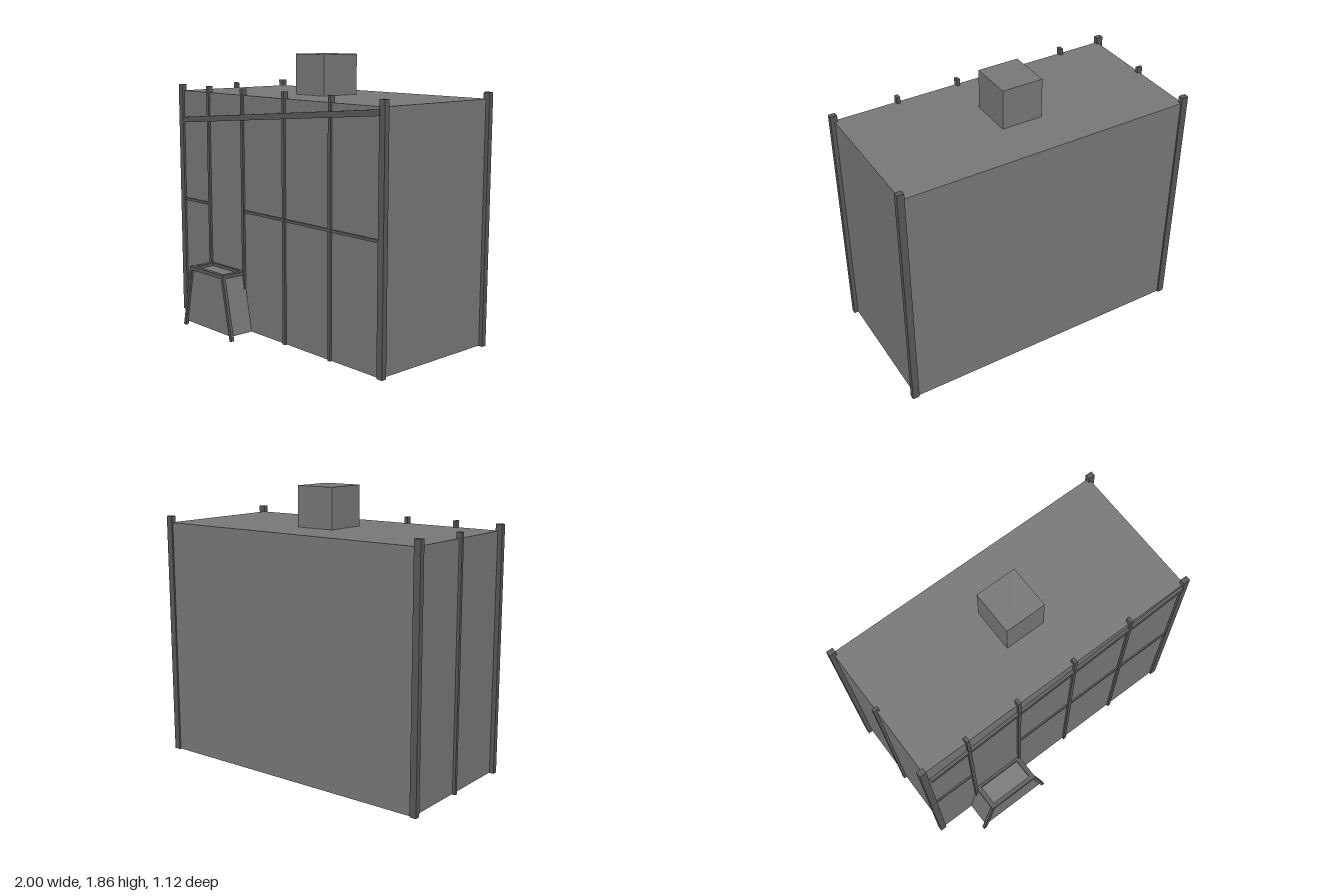
import * as THREE from 'three';

const wallMat = new THREE.MeshStandardMaterial({ color: 0x777777 });
const trimMat = new THREE.MeshStandardMaterial({ color: 0x585858 });

export function createModel() {
  const model = new THREE.Group();

  // Box given by its min and max corner
  function box(name, [x0, y0, z0], [x1, y1, z1], mat = trimMat) {
    const mesh = new THREE.Mesh(new THREE.BoxGeometry(x1 - x0, y1 - y0, z1 - z0), mat);
    mesh.name = name;
    mesh.position.set((x0 + x1) / 2, (y0 + y1) / 2, (z0 + z1) / 2);
    model.add(mesh);
  }

  // Sloping beam in the xy plane between two points
  function beam(name, [x0, y0], [x1, y1], width, z0, z1) {
    const length = Math.hypot(x1 - x0, y1 - y0);
    const mesh = new THREE.Mesh(new THREE.BoxGeometry(length, width, z1 - z0), trimMat);
    mesh.name = name;
    mesh.position.set((x0 + x1) / 2, (y0 + y1) / 2, (z0 + z1) / 2);
    mesh.rotation.z = Math.atan2(y1 - y0, x1 - x0);
    model.add(mesh);
  }

  // House block and chimney
  box('houseBody', [-0.97, 0.03, -0.55], [0.973, 1.602, 0.373], wallMat);
  box('chimney', [-0.132, 1.6, -0.232], [0.141, 1.865, 0.055], wallMat);

  // Corner posts
  for (const x of [-1, 0.955]) {
    for (const z of [-0.56, 0.352]) {
      box('cornerPost', [x, 0.028, z], [x + 0.045, 1.645, z + 0.035]);
    }
  }

  // Slim posts on the front and on one side wall
  for (const x of [-0.663, -0.293, 0.124, 0.547]) {
    box('frontPost', [x - 0.011, 0.028, 0.349], [x + 0.011, 1.645, 0.387]);
  }
  box('sidePost', [-0.989, 0.026, -0.108], [-0.952, 1.64, -0.087]);

  // Horizontal rails either side of the door bay, and the sloping rail
  box('midRail', [-0.957, 0.831, 0.36], [-0.663, 0.849, 0.383]);
  box('midRail', [-0.293, 0.831, 0.36], [0.957, 0.849, 0.383]);
  beam('slopingRail', [-0.945, 1.4], [0.962, 1.57], 0.037, 0.37, 0.393);

  // Porch: tapered block seen as a trapezoid from the front
  const cx = -0.474;
  const outline = new THREE.Shape([
    new THREE.Vector2(cx - 0.247, 0.03), new THREE.Vector2(cx + 0.247, 0.03),
    new THREE.Vector2(cx + 0.172, 0.412), new THREE.Vector2(cx - 0.172, 0.412),
  ]);
  const porch = new THREE.Mesh(
    new THREE.ExtrudeGeometry(outline, { depth: 0.175, bevelEnabled: false }), wallMat);
  porch.name = 'porchBody';
  porch.position.z = 0.37;
  model.add(porch);

  // Porch frame: splayed legs and the rim round the recessed top
  for (const s of [-1, 1]) {
    beam('porchLeg', [cx + s * 0.262, 0.003], [cx + s * 0.174, 0.42], 0.023, 0.538, 0.56);
    const a = cx + s * 0.152, b = cx + s * 0.184;
    box('porchSideRim', [Math.min(a, b), 0.407, 0.37], [Math.max(a, b), 0.432, 0.54]);
  }
  box('porchFrontRim', [cx - 0.184, 0.407, 0.53], [cx + 0.184, 0.433, 0.56]);
  box('porchBackRim', [cx - 0.184, 0.407, 0.365], [cx + 0.184, 0.432, 0.39]);

  return model;
}
